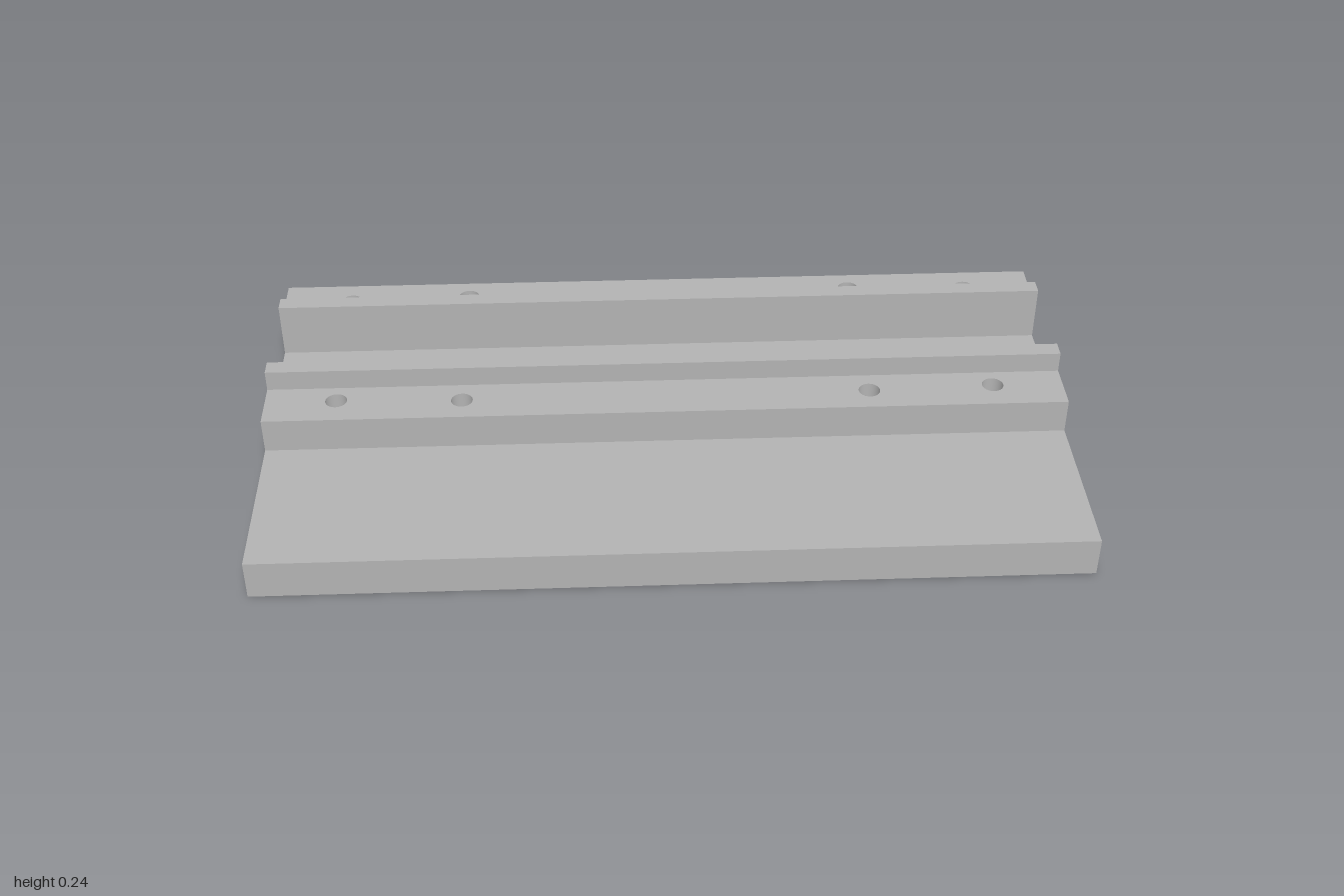
import * as THREE from 'three';

export function createModel() {
  const model = new THREE.Group();
  model.name = 'slottedMountingPlate';
  const grey = new THREE.MeshStandardMaterial({ color: 0xb2b2b2, side: THREE.DoubleSide });
  grey.name = 'plain grey';
  const SEG = 32, TOP = 0.19, SINK = 0.026;

  const add = (geometry, name) => {
    const mesh = new THREE.Mesh(geometry, grey);
    mesh.name = name;
    model.add(mesh);
    return mesh;
  };

  // Cross-section as [z, y], running up the front, over the rails and back underneath
  const profile = [
    [0.545, 0], [0.545, 0.1], [0.12, 0.1], [0.12, TOP], [-0.012, TOP], [-0.012, 0.243],
    [-0.056, 0.243], [-0.056, 0.1], [-0.3, 0.1], [-0.3, 0.243], [-0.343, 0.243], [-0.343, TOP],
    [-0.477, TOP], [-0.477, 0.1], [-0.545, 0.1], [-0.545, 0],
    [0.367, 0], [0.367, 0.038], [0.458, 0.038], [0.458, 0],
  ];

  // Screw holes: straight outer ones, inner ones countersunk from below
  const holes = [];
  for (const side of [-1, 1]) {
    for (const z of [0.041, -0.405]) holes.push({ x: side * 0.823, z, r: 0.027, bottom: 0.027 });
    for (const z of [0.051, -0.415]) holes.push({ x: side * 0.51, z, r: 0.027, bottom: 0.052 });
  }

  // Long faces, one strip per edge of the cross-section
  profile.forEach(([z0, y0], i) => {
    const [z1, y1] = profile[(i + 1) % profile.length];
    const dir = new THREE.Vector3(0, y1 - y0, z1 - z0);
    const len = dir.length();
    dir.normalize();
    const strip = new THREE.Shape([[-1, 0], [1, 0], [1, len], [-1, len]].map(p => new THREE.Vector2(...p)));
    if (y0 === y1 && (y0 === TOP || y0 === 0)) {
      for (const h of holes) {
        const v = (h.z - z0) * dir.z;
        if (v <= 0 || v >= len) continue;
        const circle = new THREE.Path();
        circle.absarc(h.x, v, y0 === 0 ? h.bottom : h.r, 0, Math.PI * 2, true);
        strip.holes.push(circle);
      }
    }
    const xAxis = new THREE.Vector3(1, 0, 0);
    const normal = xAxis.clone().cross(dir);
    const matrix = new THREE.Matrix4().makeBasis(xAxis, dir, normal).setPosition(0, y0, z0);
    add(new THREE.ShapeGeometry(strip, SEG).applyMatrix4(matrix), 'longFace' + (i + 1));
  });

  // End faces
  for (const side of [-1, 1]) {
    const shape = new THREE.Shape(profile.map(([z, y]) => new THREE.Vector2(-side * z, y)));
    const end = new THREE.ShapeGeometry(shape).rotateY(side * Math.PI / 2).translate(side, 0, 0);
    add(end, side > 0 ? 'leftEnd' : 'rightEnd');
  }

  // Hole walls and countersinks
  for (const h of holes) {
    const sink = h.bottom > h.r ? SINK : 0;
    const bore = new THREE.CylinderGeometry(h.r, h.r, TOP - sink, SEG, 1, true);
    add(bore, 'screwHole').position.set(h.x, (TOP + sink) / 2, h.z);
    if (sink) {
      const cone = new THREE.CylinderGeometry(h.r, h.bottom, sink, SEG, 1, true);
      add(cone, 'countersink').position.set(h.x, sink / 2, h.z);
    }
  }
  return model;
}
